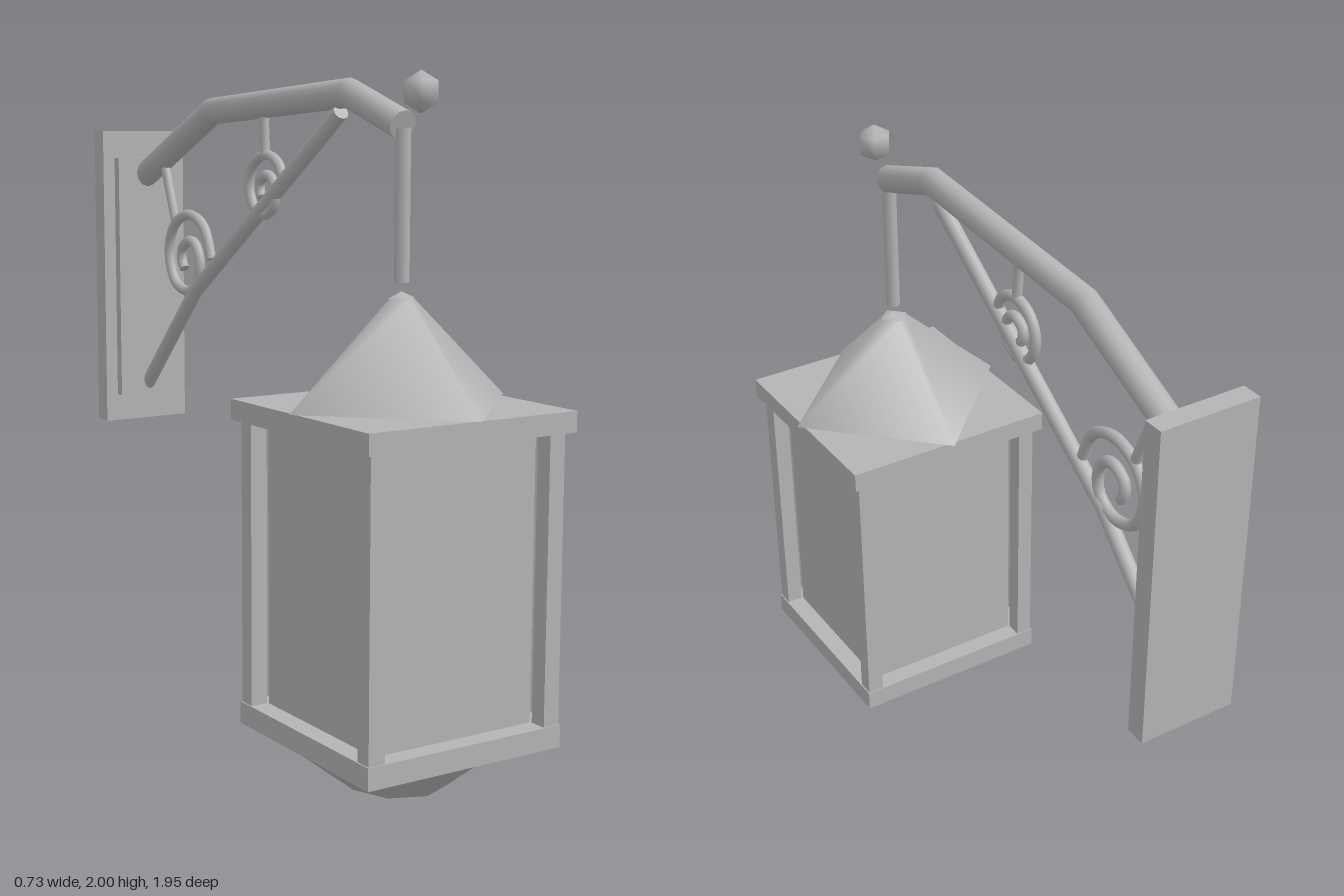
import * as THREE from 'three';

const iron = new THREE.MeshStandardMaterial({ color: 0xb4b4b4 });
iron.name = 'greyIron';

export function createModel() {
  const model = new THREE.Group();
  model.name = 'wallLantern';

  const add = (parent, name, geometry, x = 0, y = 0, z = 0) => {
    const mesh = new THREE.Mesh(geometry, iron);
    mesh.name = name;
    mesh.position.set(x, y, z);
    parent.add(mesh);
    return mesh;
  };
  const box = (w, y0, y1, d) => new THREE.BoxGeometry(w, y1 - y0, d);

  // Wall plate in two steps
  add(model, 'wallPlate', box(0.306, 0.844, 1.835, 0.064), 0, 1.34, -0.942);
  add(model, 'innerWallPlate', box(0.222, 0.934, 1.745, 0.032), 0, 1.34, -0.895);

  // Bracket arm, brace, hangers and scrolls all lie in the x = 0 plane
  const bracket = new THREE.Group();
  bracket.name = 'bracket';
  model.add(bracket);
  add(bracket, 'arm', bar([[0.607, 1.857], [0.345, 1.947], [-0.43, 1.9], [-0.9, 1.686]], 0.042, 12));
  add(bracket, 'brace', bar([[0.305, 1.894], [-0.55, 1.318], [-0.9, 0.964]], 0.024, 10));
  add(bracket, 'frontHanger', bar([[-0.116, 1.88], [-0.108, 1.765]], 0.015, 8));
  add(bracket, 'rearHanger', bar([[-0.752, 1.712], [-0.685, 1.545]], 0.016, 8));
  add(bracket, 'frontScroll', bar(scroll(-0.105, 1.668, 0.72), 0.016, 8));
  add(bracket, 'rearScroll', bar(scroll(-0.593, 1.427, 1), 0.017, 8));
  add(bracket, 'finialBall', new THREE.SphereGeometry(0.058, 6, 3), 0, 1.945, 0.688);

  // Lantern hanging from the arm
  const lantern = new THREE.Group();
  lantern.name = 'lantern';
  lantern.position.z = 0.608;
  model.add(lantern);
  add(lantern, 'hangingRod', new THREE.CylinderGeometry(0.022, 0.022, 0.42, 8), 0, 1.64, 0);
  add(lantern, 'roofTip', new THREE.ConeGeometry(0.045, 0.018, 4), 0, 1.396, 0);
  add(lantern, 'roof', new THREE.CylinderGeometry(0.04, 0.365, 0.295, 4), 0, 1.2395, 0);
  add(lantern, 'topSlab', box(0.688, 1.03, 1.09, 0.688), 0, 1.06, 0);
  add(lantern, 'glassBox', box(0.532, 0.2, 1.03, 0.532), 0, 0.615, 0);
  for (const x of [-1, 1]) for (const z of [-1, 1]) {
    add(lantern, 'cornerPost', box(0.052, 0.2, 1.03, 0.052), x * 0.296, 0.615, z * 0.296);
  }
  add(lantern, 'bottomSlab', box(0.652, 0.135, 0.2, 0.652), 0, 0.1675, 0);
  add(lantern, 'bottomCup', new THREE.CylinderGeometry(0.325, 0.15, 0.135, 8), 0, 0.0675, 0);

  return model;
}

// Spiral of [z, y] points around a centre
function scroll(z, y, size) {
  const knots = [[0.148, 0], [0.1, 0.1], [0, 0.138], [-0.098, 0.1], [-0.138, 0.01], [-0.1, -0.085],
    [-0.01, -0.116], [0.06, -0.08], [0.074, -0.02], [0.05, 0.035], [0.005, 0.053], [-0.045, 0.025],
    [-0.05, -0.015], [-0.032, -0.042]];
  const curve = new THREE.SplineCurve(knots.map(([a, b]) => new THREE.Vector2(z + a * size, y + b * size)));
  return curve.getSpacedPoints(40).map((p) => [p.x, p.y]);
}

// Round bar with mitred bends and flat ends along [z, y] points
function bar(path, radius, sides) {
  const pts = path.map((p) => new THREE.Vector2(...p));
  const last = pts.length - 1;
  const position = [], index = [];
  const ring = (i, r) => {
    const a = pts[Math.max(i, 1)].clone().sub(pts[Math.max(i, 1) - 1]).normalize();
    const k = Math.min(i, last - 1);
    const b = pts[k + 1].clone().sub(pts[k]).normalize();
    const t = a.clone().add(b).normalize();
    const mitre = r / t.dot(a);
    for (let j = 0; j < sides; j++) {
      const angle = (j / sides) * Math.PI * 2;
      const n = Math.cos(angle) * mitre;
      position.push(Math.sin(angle) * r, pts[i].y + t.x * n, pts[i].x - t.y * n);
    }
  };
  // Collapsed and doubled end rings make the caps crisp
  ring(0, 0);
  ring(0, radius);
  pts.forEach((p, i) => ring(i, radius));
  ring(last, radius);
  ring(last, 0);
  const rings = pts.length + 4;
  for (let i = 0; i < rings - 1; i++) {
    if (i === 1 || i === rings - 3) continue;
    for (let j = 0; j < sides; j++) {
      const a = i * sides + j, b = i * sides + ((j + 1) % sides);
      index.push(a, a + sides, b, a + sides, b + sides, b);
    }
  }
  const geometry = new THREE.BufferGeometry();
  geometry.setAttribute('position', new THREE.Float32BufferAttribute(position, 3));
  geometry.setIndex(index);
  geometry.computeVertexNormals();
  return geometry;
}
